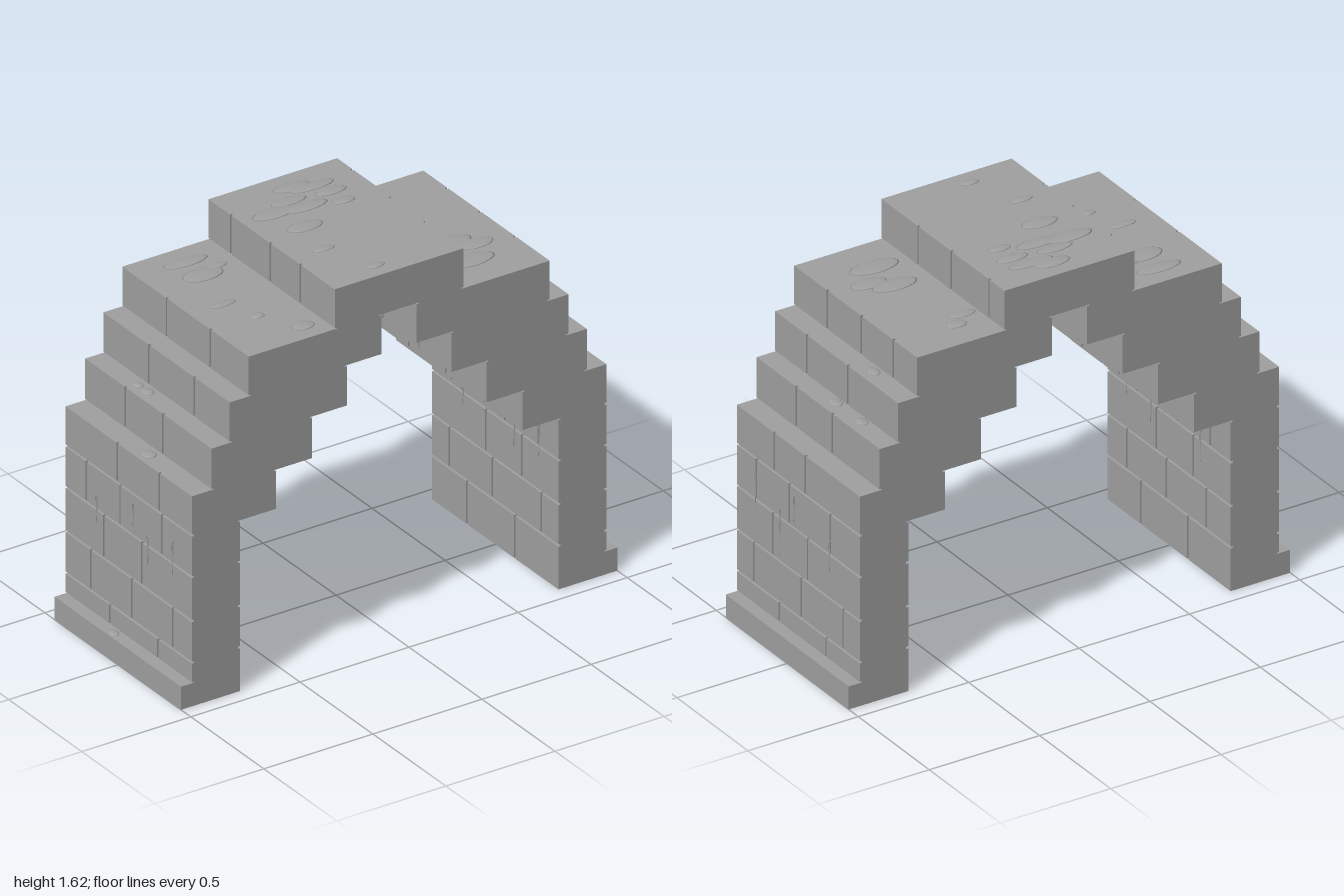
import * as THREE from 'three';

const HALF = 0.433;   // half depth of the arch
const SKIN = 0.01;    // thickness of the facing bricks, so depth of the joints
const GAP = 0.01;     // joint width

// Courses: bottom, top, outer x, inner x, z joints on +x side, z joints on -x side
const COURSES = [
  [0.00, 0.10, 1.00, 0.73, [], []],
  [0.10, 0.19, 0.95, 0.73, [0.135, -0.195], [0.2, -0.13]],
  [0.19, 0.37, 0.95, 0.73, [0.315, -0.02, -0.315], [0.3, 0.02, -0.26]],
  [0.37, 0.56, 0.95, 0.73, [0.18, -0.065], [0.09, -0.17]],
  [0.56, 0.74, 0.95, 0.73, [0.295, 0.065, -0.225], [0.225, -0.06, -0.29]],
  [0.74, 0.91, 0.95, 0.565, [0.17, -0.05], [0.21, -0.08]],
  [0.91, 1.09, 0.86, 0.40, [0.155, -0.10], [0.1, -0.16]],
  [1.09, 1.265, 0.777, 0.24, [0.21, -0.08], [0.19, -0.12]],
  [1.265, 1.437, 0.69, 0.08, [0.2, -0.04, -0.265], [0.17, -0.13]],
  [1.437, 1.61, 0.295, 0, [0.175, -0.06, -0.325], [0.195, -0.01, -0.28]],
];

// Shallow worn lumps: height, then [x, z, radius x, radius z]
const LUMPS = [
  [1.61, [[0.02, -0.34, 0.08, 0.035], [0.09, -0.3, 0.1, 0.03], [-0.05, -0.25, 0.08, 0.03],
    [0.13, -0.23, 0.07, 0.03], [-0.02, -0.18, 0.1, 0.035], [-0.15, -0.2, 0.1, 0.04],
    [0.13, -0.14, 0.05, 0.025], [-0.11, -0.05, 0.08, 0.04], [-0.15, 0.14, 0.05, 0.02], [-0.06, 0.36, 0.04, 0.02]]],
  [1.437, [[-0.47, -0.33, 0.1, 0.035], [-0.47, -0.21, 0.09, 0.05], [-0.39, -0.24, 0.05, 0.02],
    [-0.54, 0.03, 0.06, 0.02], [-0.48, 0.18, 0.03, 0.02], [-0.38, 0.34, 0.05, 0.035],
    [0.42, -0.29, 0.045, 0.03], [0.36, -0.235, 0.06, 0.025], [0.45, 0.1, 0.1, 0.045],
    [0.53, 0.16, 0.08, 0.04], [0.44, 0.26, 0.11, 0.05]]],
  [1.265, [[0.72, -0.17, 0.025, 0.035]]],
  [1.09, [[0.8, -0.21, 0.025, 0.035], [0.8, -0.03, 0.025, 0.035], [-0.81, -0.15, 0.02, 0.03], [-0.81, -0.08, 0.025, 0.03]]],
  [0.91, [[-0.9, 0.06, 0.03, 0.035]]],
  [0.10, [[-0.975, -0.07, 0.02, 0.03]]],
];

export function createModel() {
  const stone = new THREE.MeshStandardMaterial({ color: 0xa0a0a0 });
  stone.name = 'grey stone';
  const model = new THREE.Group();
  model.name = 'steppedStoneArch';

  const add = (parent, name, geometry, x = 0, y = 0, z = 0) => {
    const mesh = new THREE.Mesh(geometry, stone);
    mesh.name = name;
    mesh.position.set(x, y, z);
    parent.add(mesh);
    return mesh;
  };

  // Solid core, set back behind the facing bricks
  const outer = [], inner = [];
  COURSES.forEach(([y0, y1, xo, xi], i) => {
    const x = i === 0 ? xo : xo - SKIN;
    outer.push([x, y0], [x, y1]);
    if (xi > 0) inner.push([xi + SKIN, y0], [xi + SKIN, y1]);
  });
  const flip = (p) => p.map(([x, y]) => [-x, y]).reverse();
  const outline = [...outer, ...flip(outer), ...flip(inner).reverse(), ...inner.reverse()]
    .map(([x, y]) => new THREE.Vector2(x, y))
    .filter((p, i, a) => i === 0 || !p.equals(a[i - 1]));
  const core = new THREE.ExtrudeGeometry(new THREE.Shape(outline), { depth: 2 * HALF, bevelEnabled: false });
  add(model, 'archCore', core, 0, 0, -HALF);

  // One row of facing bricks, split along z at the joints
  const brickRow = (parent, name, x, y0, y1, joints) => {
    const cuts = [HALF, ...joints, -HALF];
    for (let i = 0; i < cuts.length - 1; i++) {
      const front = cuts[i] - (i > 0 ? GAP / 2 : 0);
      const back = cuts[i + 1] + (i < cuts.length - 2 ? GAP / 2 : 0);
      add(parent, name, new THREE.BoxGeometry(SKIN, y1 - y0, front - back), x, (y0 + y1) / 2, (front + back) / 2);
    }
  };

  // Outer and inner facings on both sides
  for (const side of [1, -1]) {
    const facing = new THREE.Group();
    facing.name = side > 0 ? 'leftFacing' : 'rightFacing';
    model.add(facing);
    COURSES.forEach(([y0, y1, xo, xi, jointsL, jointsR], i) => {
      const joints = side > 0 ? jointsL : jointsR;
      const above = COURSES[i + 1], below = COURSES[i - 1];
      const ledge = !above || above[2] < xo;
      const overhang = !below || below[3] > xi;
      if (i > 0) {
        brickRow(facing, 'outerBrick', side * (xo - SKIN / 2), y0 + GAP / 2, ledge ? y1 : y1 - GAP / 2, joints);
      }
      if (xi > 0) {
        const bottom = i === 1 ? y0 : overhang ? y0 : y0 + GAP / 2;
        const top = i === 0 ? y1 : y1 - GAP / 2;
        const innerJoints = i === 0 ? COURSES[1][side > 0 ? 4 : 5] : joints;
        brickRow(facing, 'innerBrick', side * (xi + SKIN / 2), bottom, top, innerJoints);
      }
    });

    // Thin tapering weather streaks
    for (const [z, top, length] of [[0.3, 0.66, 0.2], [0.13, 0.6, 0.22], [0.03, 0.7, 0.16], [-0.22, 0.62, 0.18]]) {
      for (const x of [0.95, 0.73]) {
        const streak = add(facing, 'weatherStreak', new THREE.ConeGeometry(0.007, length, 4), side * x, top - length / 2, z);
        streak.rotation.x = Math.PI;
        streak.scale.x = 0.5;
      }
    }
  }

  // Worn lumps on the upward faces
  const dome = new THREE.SphereGeometry(1, 16, 4, 0, Math.PI * 2, 0, Math.PI / 2);
  for (const [y, spots] of LUMPS) {
    for (const [x, z, rx, rz] of spots) {
      add(model, 'wornLump', dome, x, y, z).scale.set(rx, 0.006, rz);
    }
  }
  return model;
}
